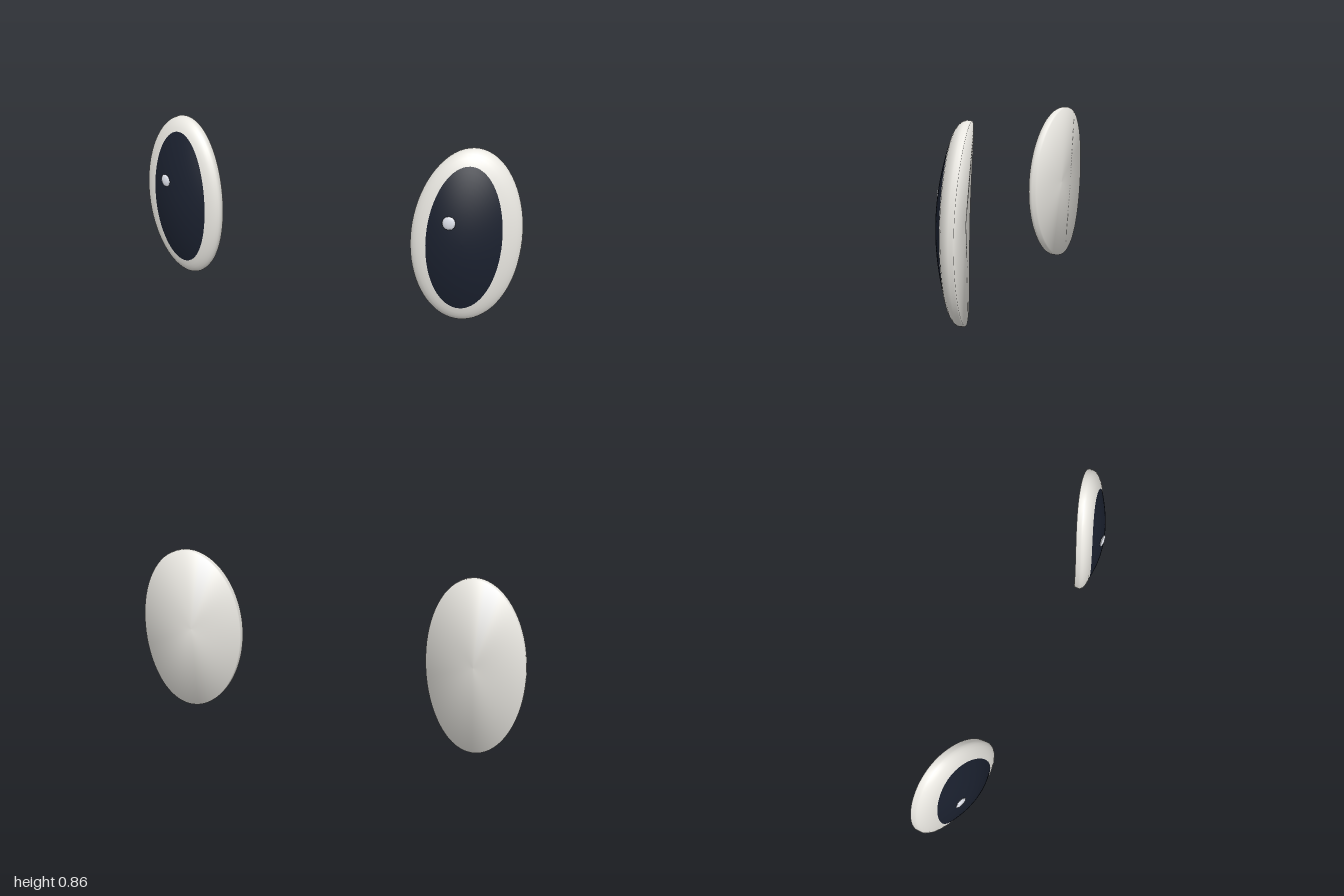
import * as THREE from 'three';

const SEGMENTS = 72;
const YAW = 0.255;   // outward slope of each eye
const PITCH = 0.035; // backward lean
const BEND = 0.03;   // top and bottom curve back

// Depth of the leaning, bent base surface at offset (u, v) from the eye centre
const baseZ = (u, v, side) =>
  -0.035 - YAW * side * u - PITCH * v - BEND * (v / 0.43) ** 2;

// Skin over elliptical rings [halfWidth, halfHeight, depth, yShift], listed front to back
function ringSurface(rings, side) {
  const positions = [], indices = [];
  rings.forEach(([a, b, h, shift = 0], r) => {
    for (let i = 0; i < SEGMENTS; i++) {
      const t = (i / SEGMENTS) * Math.PI * 2;
      const u = a * Math.cos(t), v = b * Math.sin(t) + shift;
      positions.push(u, v, h + baseZ(u, v, side));
      if (r === 0) continue;
      const j = (i + 1) % SEGMENTS;
      const p = (r - 1) * SEGMENTS, q = r * SEGMENTS;
      indices.push(p + i, q + i, q + j, p + i, q + j, p + j);
    }
  });
  const geometry = new THREE.BufferGeometry();
  geometry.setAttribute('position', new THREE.Float32BufferAttribute(positions, 3));
  geometry.setIndex(indices);
  geometry.computeVertexNormals();
  return geometry;
}

function addMesh(parent, name, geometry, color) {
  const mesh = new THREE.Mesh(geometry, new THREE.MeshStandardMaterial({ color }));
  mesh.name = name;
  parent.add(mesh);
  return mesh;
}

function createEye(side) {
  const eye = new THREE.Group();
  eye.name = side > 0 ? 'leftEye' : 'rightEye';

  // White: rounded front border, upright rim wall and a back fanning to its centre
  const white = [
    [0.17, 0.355, 0.076, 0.01], [0.192, 0.378, 0.071, 0.006], [0.213, 0.398, 0.063, 0.003],
    [0.231, 0.414, 0.053, 0.001], [0.243, 0.425, 0.042], [0.249, 0.43, 0.032],
    [0.25, 0.431, 0.024], [0.25, 0.431, 0.007], [0.248, 0.428, 0], [0, 0, -0.015],
  ];
  const whiteGeometry = ringSurface(white, side);
  // Soft shading across the back: the last rim ring faces outward
  const normals = whiteGeometry.attributes.normal;
  const normal = new THREE.Vector3();
  for (let i = 0; i < SEGMENTS; i++) {
    const t = (i / SEGMENTS) * Math.PI * 2;
    normal.set(Math.cos(t), 0.6 * Math.sin(t), -0.8).normalize();
    normals.setXYZ((white.length - 2) * SEGMENTS + i, normal.x, normal.y, normal.z);
  }
  addMesh(eye, 'eyeWhite', whiteGeometry, 0xe8e6e0);

  // Pupil: smooth dark dome
  const pupil = [];
  for (let i = 0; i <= 12; i++) {
    const r = i / 12;
    pupil.push([0.17 * r, 0.355 * r, 0.117 - 0.041 * r * r, 0.01]);
  }
  addMesh(eye, 'pupil', ringSurface(pupil, side), 0x1a202e);

  // Highlight: small flattened bead, on the same side of both pupils
  const u = -0.064, v = 0.111;
  const dome = 0.117 - 0.041 * ((u / 0.17) ** 2 + ((v - 0.01) / 0.355) ** 2);
  const glint = addMesh(eye, 'highlight', new THREE.SphereGeometry(1, 8, 6), 0xe2e5ee);
  glint.scale.set(0.032, 0.034, 0.01);
  glint.position.set(u, v, baseZ(u, v, side) + dome + 0.009);
  glint.rotation.y = side > 0 ? 0.05 : -0.3;

  eye.position.set(0.75 * side, 0.431, 0);
  return eye;
}

export function createModel() {
  const model = new THREE.Group();
  model.name = 'eyes';
  for (const side of [1, -1]) model.add(createEye(side));
  return model;
}
